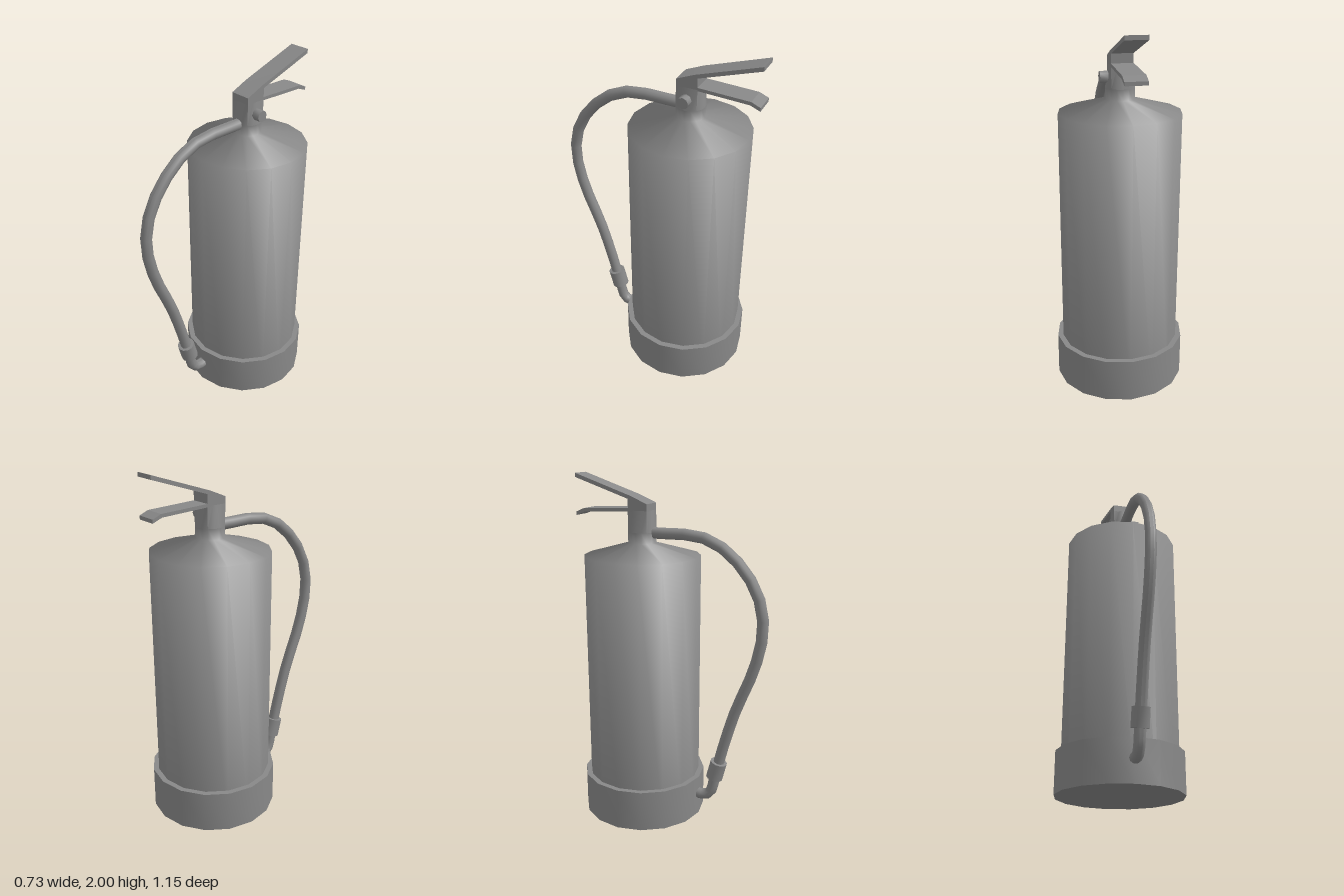
import * as THREE from 'three';
import { toCreasedNormals } from 'three/addons/utils/BufferGeometryUtils.js';

const AXIS_Z = -0.183; // z of the cylinder's axis
const material = new THREE.MeshStandardMaterial({ color: 0x888888 });

function part(name, geometry, crease = 0.6) {
  const mesh = new THREE.Mesh(toCreasedNormals(geometry, crease), material);
  mesh.name = name;
  return mesh;
}

// Revolved profile of [radius, y] pairs around the cylinder's axis
function turned(name, points, crease) {
  const geometry = new THREE.LatheGeometry(points.map(([r, y]) => new THREE.Vector2(r, y)), 16);
  return part(name, geometry.translate(0, 0, AXIS_Z), crease);
}

// Side profile of [z, y] pairs, extruded across x
function sideProfile(name, points, width) {
  const shape = new THREE.Shape(points.map(([z, y]) => new THREE.Vector2(-z, y)));
  const geometry = new THREE.ExtrudeGeometry(shape, { depth: width, bevelEnabled: false });
  geometry.translate(0, 0, -width / 2).rotateY(Math.PI / 2);
  return part(name, geometry, 0.1);
}

// Round tube through [z, y] pairs in the middle plane
function pipe(name, points, radius, segments) {
  const curve = new THREE.CatmullRomCurve3(points.map(([z, y]) => new THREE.Vector3(0, y, z)));
  return part(name, new THREE.TubeGeometry(curve, segments, radius, 10), 0.9);
}

// Straight cylinder between two points
function rod(name, from, to, radius, sides) {
  const a = new THREE.Vector3(...from), b = new THREE.Vector3(...to);
  const dir = b.clone().sub(a);
  const mesh = part(name, new THREE.CylinderGeometry(radius, radius, dir.length(), sides), 0.9);
  mesh.position.copy(a).add(b).multiplyScalar(0.5);
  mesh.quaternion.setFromUnitVectors(new THREE.Vector3(0, 1, 0), dir.normalize());
  return mesh;
}

// Valve shoulder: a round lower end blending into a square top
function shoulder() {
  const geometry = new THREE.CylinderGeometry(0.059, 0.08, 0.12, 16, 1);
  const p = geometry.attributes.position;
  for (let i = 0; i < p.count; i++) {
    const x = p.getX(i), z = p.getZ(i), r = Math.hypot(x, z);
    if (p.getY(i) < 0 || r < 0.001) continue;
    const k = r / Math.max(Math.abs(x), Math.abs(z));
    p.setXYZ(i, x * k, p.getY(i), z * k);
  }
  return part('valveShoulder', geometry.translate(0, 1.745, AXIS_Z), 0.9);
}

export function createModel() {
  const model = new THREE.Group();
  model.name = 'fireExtinguisher';

  // Tank, shaded softly over its rim and up into the neck, and the foot
  model.add(
    turned('tank', [[0, 0.02], [0.332, 0.02], [0.332, 1.555], [0.08, 1.625], [0.08, 1.685]], 1.4),
    turned('foot', [[0, 0], [0.363, 0], [0.363, 0.24], [0, 0.24]], 0.6),
  );

  // Valve
  model.add(
    shoulder(),
    rod('gaugeStem', [0.03, 1.74, AXIS_Z], [0.075, 1.74, AXIS_Z], 0.022, 8),
    rod('gauge', [0.065, 1.74, AXIS_Z], [0.11, 1.74, AXIS_Z], 0.032, 8),
  );

  // Valve head with its squeeze lever, and the carrying handle below
  model.add(
    sideProfile('valveHeadAndLever', [
      [-0.124, 1.8], [-0.241, 1.8], [-0.241, 1.868], [-0.575, 1.977],
      [-0.575, 2], [-0.225, 1.885], [-0.124, 1.843],
    ], 0.118),
    sideProfile('carryingHandle', [
      [-0.23, 1.8], [-0.52, 1.787], [-0.575, 1.765],
      [-0.575, 1.785], [-0.525, 1.806], [-0.23, 1.818],
    ], 0.118),
  );

  // Hose, its collar and the bent nozzle
  model.add(
    pipe('hose', [
      [-0.16, 1.682], [0, 1.682], [0.15, 1.68], [0.28, 1.635], [0.4, 1.54], [0.5, 1.4],
      [0.542, 1.25], [0.535, 1.1], [0.49, 0.93], [0.4, 0.7], [0.335, 0.48], [0.3, 0.34],
    ], 0.032, 16),
    rod('hoseCollar', [0, 0.362, 0.305], [0, 0.257, 0.278], 0.05, 12),
    pipe('nozzle', [[0.285, 0.28], [0.267, 0.19], [0.25, 0.15], [0.215, 0.132], [0.16, 0.134]], 0.032, 6),
  );
  return model;
}
